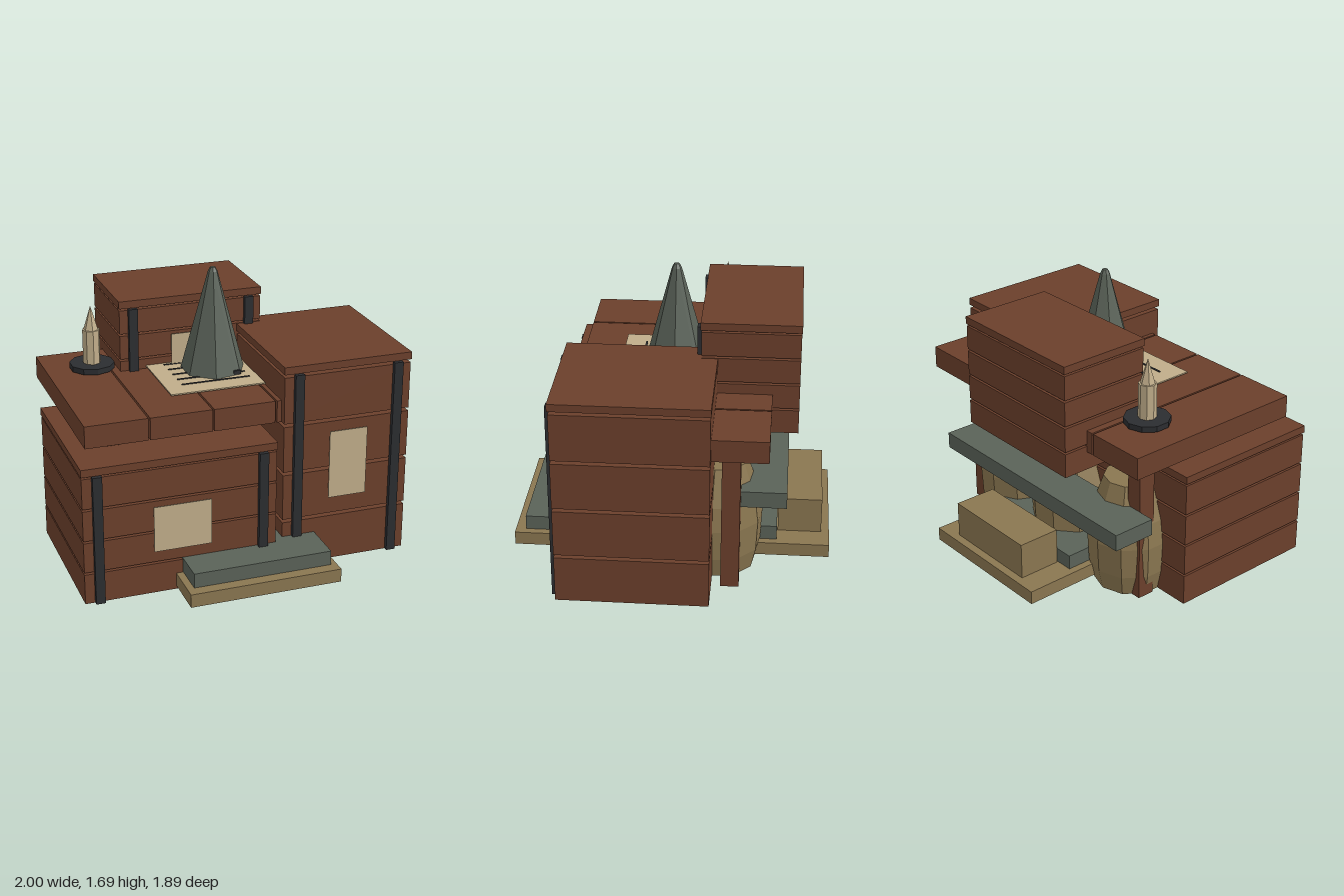
import * as THREE from 'three';

const mat = (name, color, extra = {}) => {
  const m = new THREE.MeshStandardMaterial({ color, ...extra });
  m.name = name;
  return m;
};

export function createModel() {
  const root = new THREE.Group();
  root.name = 'storageStall';
  const wood = mat('brownWood', 0x6b3f2b);
  const iron = mat('darkIron', 0x2b2d30);
  const paper = mat('parchment', 0xc0ad8a);
  const stone = mat('greyGreenStone', 0x5a6258);
  const tan = mat('tanCloth', 0x8a7650);
  for (const m of [paper, stone, tan, iron]) m.flatShading = true;

  const add = (parent, name, geo, material) => {
    const mesh = new THREE.Mesh(geo, material);
    mesh.name = name;
    parent.add(mesh);
    return mesh;
  };
  // box given by its minimum and maximum on each axis
  const box = (parent, name, material, x0, x1, y0, y1, z0, z1) => {
    const mesh = add(parent, name, new THREE.BoxGeometry(x1 - x0, y1 - y0, z1 - z0), material);
    mesh.position.set((x0 + x1) / 2, (y0 + y1) / 2, (z0 + z1) / 2);
    return mesh;
  };
  const lathe = (parent, name, material, profile, sides) =>
    add(parent, name, new THREE.LatheGeometry(profile.map(([r, y]) => new THREE.Vector2(r, y)), sides), material);

  // slatted crate with lid, two front straps and a centred label
  const crate = (name, x0, x1, y0, y1, z0, z1, gap, strapInset) => {
    const g = new THREE.Group();
    g.name = name;
    root.add(g);
    const lid = 0.045, n = 4;
    const pitch = (y1 - lid - y0) / n;
    for (let i = 0; i < n; i++) {
      const y = y0 + i * pitch;
      box(g, 'slat', wood, x0 + 0.003, x1 - 0.003, y, y + pitch - gap, z0 + 0.003, z1 - 0.005);
    }
    box(g, 'lid', wood, x0, x1, y1 - lid, y1, z0, z1);
    for (const x of [x0 + strapInset, x1 - strapInset - 0.055])
      box(g, 'strap', iron, x, x + 0.055, y0, y1 - lid - 0.003, z1 - 0.006, z1 + 0.021);
    const cx = (x0 + x1) / 2, cy = (y0 + y1) / 2, w = (x1 - x0) * 0.149, h = (y1 - y0) * 0.167;
    box(g, 'label', paper, cx - w, cx + w, cy - h, cy + h, z1 + 0.022, z1 + 0.028);
  };
  crate('wideCrate', -1, 0.155, 0.002, 0.835, -0.265, 0.68, 0.013, 0.06);
  crate('tallCrate', 0.212, 1, 0.002, 1.26, -0.263, 0.625, 0.02, 0.06);
  crate('rearCrate', -0.527, 0.365, 0.8, 1.48, -0.738, -0.163, 0.013, 0.055);

  // plank table
  const table = new THREE.Group();
  table.name = 'table';
  root.add(table);
  for (let i = 0; i < 5; i++) {
    const x = -0.945 + i * 0.378;
    box(table, 'tablePlank', wood, x, x + 0.367, 0.91, 1.043, -0.58, 0.574);
  }
  for (const x of [-0.74, 0.735])
    for (const z of [-0.367, 0.36])
      box(table, 'tableLeg', wood, x - 0.05, x + 0.05, 0.003, 0.912, z - 0.053, z + 0.053);

  // written sheet on the table
  box(root, 'sheet', paper, -0.365, 0.21, 1.054, 1.062, -0.27, 0.33);
  for (let i = 0; i < 5; i++) {
    const z = -0.137 + i * 0.085;
    box(root, 'inkLine', iron, -0.262, 0.16, 1.062, 1.066, z - 0.006, z + 0.006);
  }
  box(root, 'inkBlock', iron, 0.076, 0.118, 1.066, 1.09, 0.13, 0.165);

  // seven-sided spire rising through the table
  const spire = lathe(root, 'spire', stone,
    [[0, 0], [0.483, 0], [0.029, 1.665], [0.016, 1.69], [0, 1.69]], 7);
  spire.rotation.y = Math.PI / 2;

  // candle on a round dish
  const candle = new THREE.Group();
  candle.name = 'candle';
  candle.position.set(-0.673, 0, -0.268);
  root.add(candle);
  add(candle, 'dish', new THREE.CylinderGeometry(0.135, 0.135, 0.034, 10), iron).position.y = 1.07;
  add(candle, 'candleStick', new THREE.CylinderGeometry(0.053, 0.053, 0.21, 8), paper).position.y = 1.19;
  add(candle, 'flame', new THREE.ConeGeometry(0.045, 0.147, 6), paper).position.y = 1.368;

  // stepped base and rear block
  box(root, 'lowerStep', tan, -0.457, 0.457, 0.022, 0.103, -0.943, 0.943);
  box(root, 'upperStep', stone, -0.417, 0.417, 0.107, 0.195, -0.63, 0.88);
  box(root, 'rearBlock', tan, -0.31, 0.31, 0.105, 0.325, -0.895, -0.635);

  // rear shelf and the sacks under it
  box(root, 'rearShelf', stone, -0.893, 0.682, 0.48, 0.58, -0.684, -0.42);
  const sackProfile = [[0, 0.003], [0.215, 0.003], [0.245, 0.13], [0.255, 0.32], [0.235, 0.47], [0.16, 0.685], [0, 0.685]];
  [-0.57, -0.04, 0.47].forEach((x, i) => {
    const sack = lathe(root, 'sack', tan, sackProfile, 10);
    sack.position.set(x, 0, -0.29);
    sack.rotation.y = i * 0.4;
  });
  return root;
}
